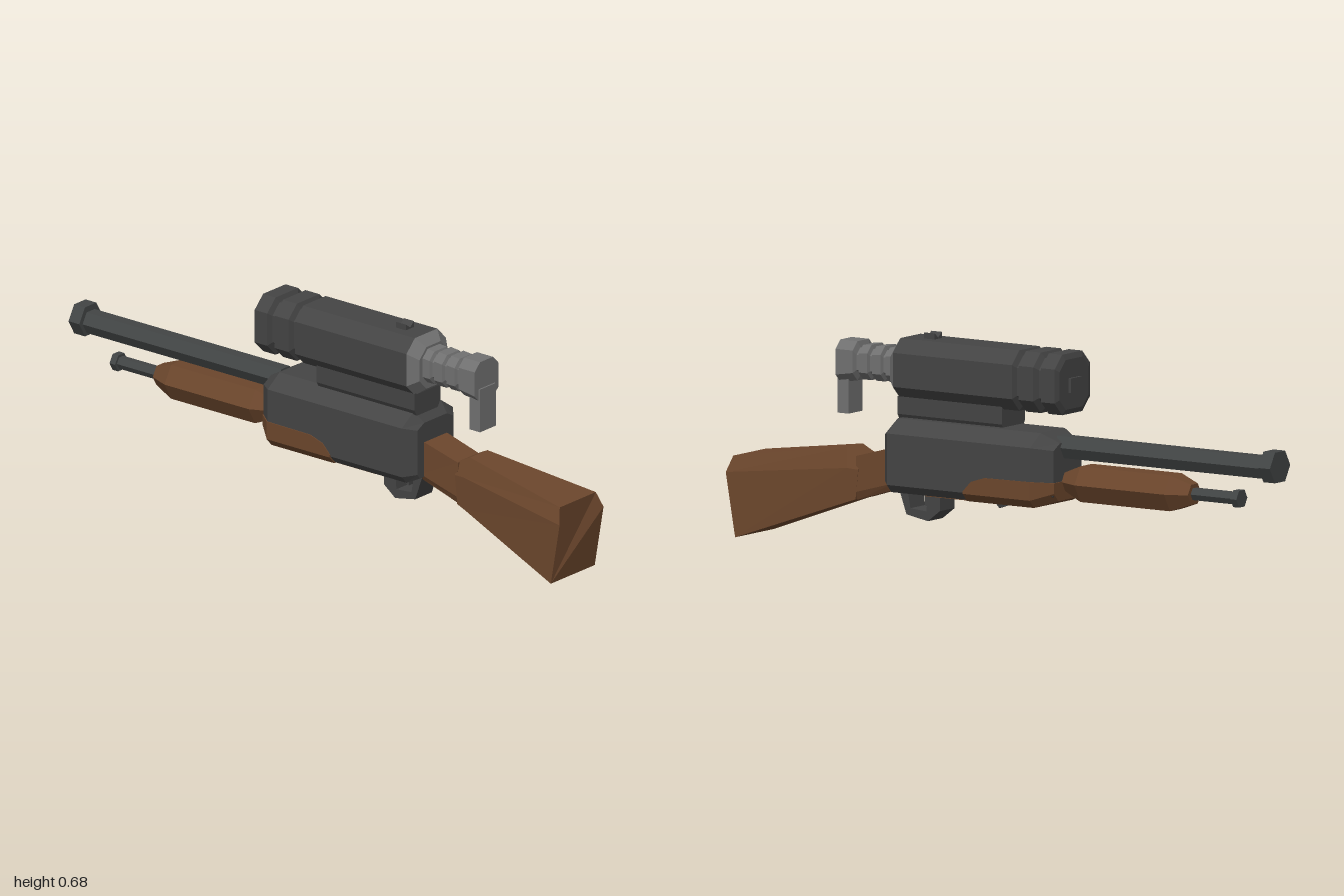
import * as THREE from 'three';

const mat = (name, color) => {
  const m = new THREE.MeshStandardMaterial({ color });
  m.name = name;
  return m;
};

// Faceted loft: each section is half an outline, bottom to top, as [x, y, z], mirrored in z
function loft(sections) {
  const rings = sections.map(h => [...h, ...h.slice().reverse().map(([x, y, z]) => [x, y, -z])]);
  const pos = [];
  const tri = (...p) => p.forEach(v => pos.push(...v));
  const n = rings[0].length, last = rings[rings.length - 1];
  for (let i = 0; i < rings.length - 1; i++) {
    for (let j = 0; j < n; j++) {
      const k = (j + 1) % n;
      const a = rings[i][j], b = rings[i][k], c = rings[i + 1][k], d = rings[i + 1][j];
      tri(a, d, c);
      tri(a, c, b);
    }
  }
  for (let k = 1; k < n - 1; k++) {
    tri(rings[0][0], rings[0][k], rings[0][k + 1]);
    tri(last[0], last[k + 1], last[k]);
  }
  const g = new THREE.BufferGeometry();
  g.setAttribute('position', new THREE.Float32BufferAttribute(pos, 3));
  g.computeVertexNormals();
  return g;
}

// Half section at one x from [z, y] pairs
const half = (x, ...zy) => zy.map(([z, y]) => [x, y, z]);
// Chamfered rectangle section
const oct = (x, y0, y1, w, c) => half(x, [w - c, y0], [w, y0 + c], [w, y1 - c], [w - c, y1]);
// Hexagonal section with flats above and below
const hex = (x, y, r) => half(x, [r / 2, y - r * 0.866], [r, y], [r / 2, y + r * 0.866]);

function extrude(shape, depth) {
  const g = new THREE.ExtrudeGeometry(shape, { depth, bevelEnabled: false });
  return g.translate(0, 0, -depth / 2);
}
const poly = pts => new THREE.Shape(pts.map(p => new THREE.Vector2(...p)));

export function createModel() {
  const model = new THREE.Group();
  model.name = 'scopedRifle';
  const dark = mat('darkMetal', 0x444444);
  const steel = mat('barrelSteel', 0x424545);
  const grey = mat('greyMetal', 0x707070);
  const wood = mat('brownWood', 0x6b462c);
  const add = (name, geo, m, parent = model) => {
    const mesh = new THREE.Mesh(geo, m);
    mesh.name = name;
    parent.add(mesh);
    return mesh;
  };

  // Receiver and the wood inlay wrapped around its lower front
  add('receiver', loft([
    half(-0.205, [0.06, 0.212], [0.075, 0.225], [0.075, 0.365], [0.04, 0.385]),
    half(-0.15, [0.1, 0.19], [0.123, 0.215], [0.123, 0.375], [0.065, 0.415]),
    half(0.385, [0.1, 0.19], [0.123, 0.215], [0.123, 0.375], [0.065, 0.415]),
    half(0.418, [0.075, 0.205], [0.087, 0.22], [0.087, 0.365], [0.055, 0.382]),
  ]), dark);
  const inlay = (x, w, y0, y1) => half(x, [w - 0.023, y0], [w, Math.min(y0 + 0.025, y1)], [w, y1]);
  add('receiverInlay', loft([
    inlay(-0.208, 0.077, 0.207, 0.265),
    inlay(-0.151, 0.126, 0.187, 0.27),
    inlay(0.02, 0.126, 0.187, 0.268),
    inlay(0.07, 0.126, 0.187, 0.252),
    inlay(0.1, 0.126, 0.187, 0.22),
  ]), wood);
  add('bellyPlate', new THREE.BoxGeometry(0.18, 0.005, 0.19).translate(0.17, 0.1895, 0), wood);
  add('bellyFin', loft([
    half(-0.04, [0.02, 0.189], [0.02, 0.195]),
    half(0.045, [0.008, 0.158], [0.02, 0.195]),
    half(0.06, [0.02, 0.186], [0.02, 0.195]),
  ]), dark);

  // Trigger guard
  const guard = poly([[0.245, 0.2], [0.245, 0.135], [0.29, 0.1], [0.37, 0.115], [0.4, 0.2]]);
  guard.holes.push(poly([[0.29, 0.19], [0.365, 0.19], [0.355, 0.135], [0.295, 0.13]]));
  add('triggerGuard', extrude(guard, 0.08), dark);
  add('trigger', extrude(poly([[0.3, 0.2], [0.305, 0.145], [0.32, 0.14], [0.325, 0.2]]), 0.02), dark);

  // Barrel, muzzle ring, magazine tube and fore-end
  add('barrel', loft([hex(-0.97, 0.37, 0.039), hex(-0.18, 0.37, 0.039)]), steel);
  add('muzzle', loft([hex(-1, 0.375, 0.055), hex(-0.957, 0.375, 0.055)]), steel);
  add('magazineTube', loft([hex(-0.85, 0.264, 0.021), hex(-0.65, 0.264, 0.021)]), steel);
  add('tubeCap', loft([hex(-0.857, 0.264, 0.03), hex(-0.835, 0.264, 0.03)]), steel);
  add('foreEnd', loft([
    hex(-0.68, 0.263, 0.036), hex(-0.61, 0.263, 0.064),
    hex(-0.275, 0.263, 0.064), hex(-0.2, 0.263, 0.03),
  ]), wood);

  // Stock: narrow wrist, then a flaring butt with a slanted end
  add('wrist', loft([
    half(0.405, [0.045, 0.19], [0.055, 0.21], [0.055, 0.322]),
    [[0.55, 0.145, 0.045], [0.55, 0.17, 0.055], [0.55, 0.282, 0.052]],
  ]), wood);
  add('butt', loft([
    [[0.55, 0.147, 0.055], [0.54, 0.24, 0.055], [0.545, 0.283, 0.042]],
    [[0.58, 0.137, 0.058], [0.58, 0.243, 0.06], [0.59, 0.306, 0.042]],
    [[0.965, 0, 0.106], [1, 0.2, 0.106], [0.985, 0.25, 0.087]],
  ]), wood);

  // Scope, set slightly to the model's left
  const scope = new THREE.Group();
  scope.name = 'scope';
  scope.position.z = 0.018;
  model.add(scope);
  add('scopeMount', loft([
    half(0.01, [0.05, 0.405], [0.0625, 0.425], [0.0625, 0.48]),
    half(0.4, [0.05, 0.405], [0.0625, 0.425], [0.0625, 0.48]),
  ]), dark, scope);
  const ring = (x, wide) => wide ? oct(x, 0.472, 0.66, 0.095, 0.041) : oct(x, 0.488, 0.643, 0.079, 0.034);
  add('scopeBody', loft([
    ring(-0.217, false), ring(-0.21, true), ring(-0.16, true), ring(-0.152, false),
    ring(-0.14, false), ring(-0.13, true), ring(-0.075, true), ring(-0.067, false),
    ring(-0.058, false), ring(-0.05, true), ring(0.395, true),
  ]), dark, scope);
  add('lensStud', new THREE.BoxGeometry(0.02, 0.045, 0.06).translate(-0.216, 0.562, 0), dark, scope);
  add('scopeRearCone', loft([ring(0.395, true), oct(0.425, 0.495, 0.632, 0.068, 0.034)]), grey, scope);

  // Ribbed eyepiece with a hanging tab
  const ribs = [];
  for (let i = 0; i < 3; i++) {
    const x = 0.42 + i * 0.05;
    ribs.push(oct(x, 0.515, 0.625, 0.053, 0.024), oct(x + 0.032, 0.515, 0.622, 0.053, 0.024),
      oct(x + 0.037, 0.525, 0.612, 0.044, 0.02), oct(x + 0.046, 0.525, 0.612, 0.044, 0.02));
  }
  add('eyepiece', loft([...ribs, oct(0.572, 0.51, 0.632, 0.057, 0.026),
    oct(0.636, 0.5, 0.632, 0.057, 0.026)]), grey, scope);
  add('eyepieceTab', new THREE.BoxGeometry(0.041, 0.14, 0.076).translate(0.621, 0.475, 0), grey, scope);

  // Notched sight on top of the scope
  const notch = extrude(poly([[-0.02, 0.655], [0.02, 0.655], [0.02, 0.679], [0, 0.664], [-0.02, 0.679]]), 0.04);
  add('rearSight', notch.rotateY(Math.PI / 2).translate(0.311, 0, 0), dark, scope);

  return model;
}
